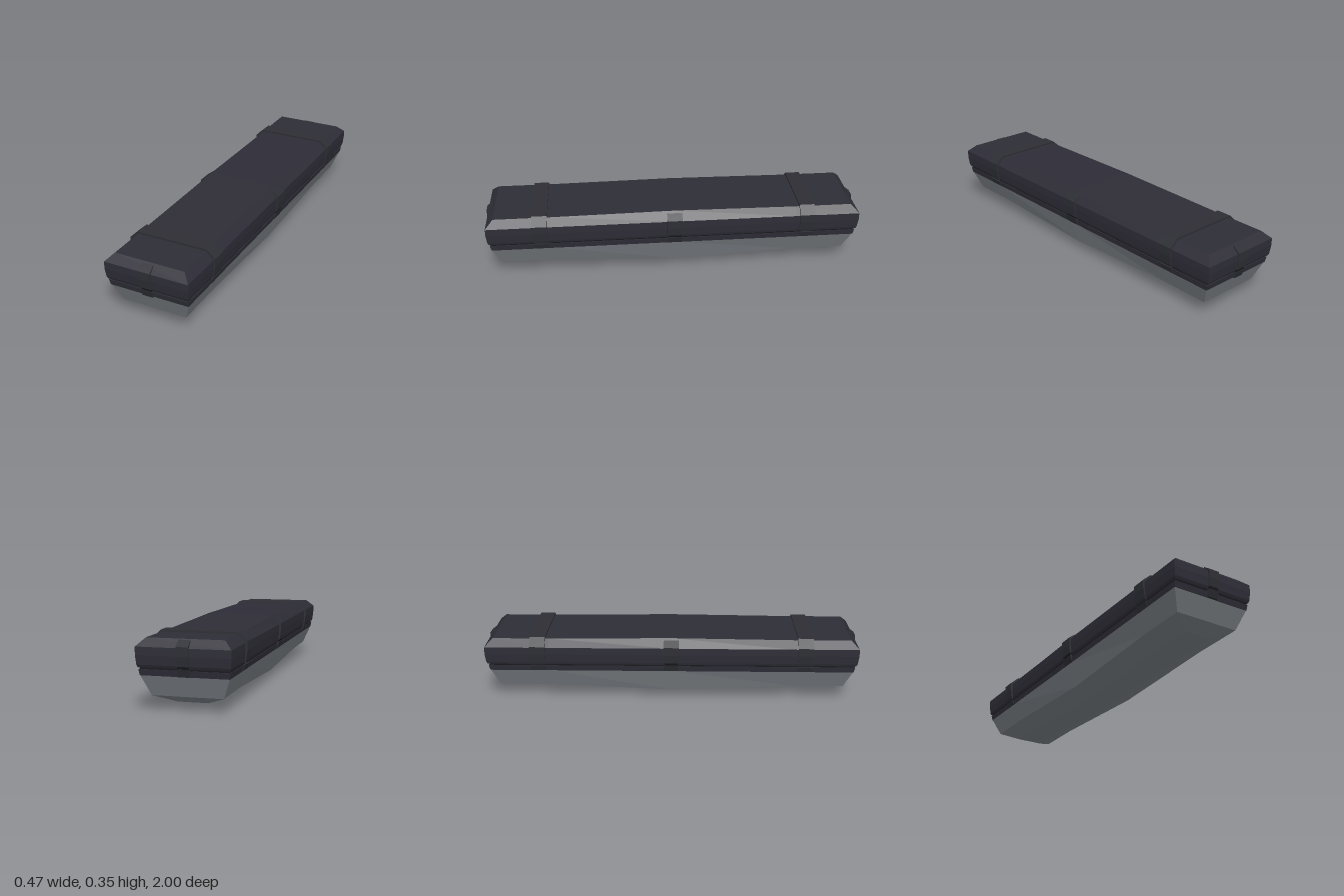
import * as THREE from 'three';

const mat = (name, color) => {
  const m = new THREE.MeshStandardMaterial({ color });
  m.name = name;
  return m;
};

// Stacks box-like rings, top to bottom. Each layer is [halfX, halfZ, yEnd, yMid];
// the height is level near the ends and slopes to yMid at z = 0.
function stack(layers) {
  const knee = 0.65, n = 10, pos = [], idx = [];
  for (const [x, z, yEnd, yMid = yEnd] of layers) {
    const side = [[z, yEnd], [knee, yEnd], [0, yMid], [-knee, yEnd], [-z, yEnd]];
    for (const [pz, y] of side) pos.push(x, y, pz);
    for (const [pz, y] of [...side].reverse()) pos.push(-x, y, pz);
  }
  const last = (layers.length - 1) * n;
  for (let l = 0; l < last; l += n) {
    for (let i = 0; i < n; i++) {
      const a = l + i, b = l + (i + 1) % n;
      idx.push(a, a + n, b + n, a, b + n, b);
    }
  }
  for (let i = 0; i < 4; i++) {
    const a = i, b = i + 1, c = 8 - i, d = 9 - i;
    idx.push(a, b, c, a, c, d);
    idx.push(last + a, last + c, last + b, last + a, last + d, last + c);
  }
  const g = new THREE.BufferGeometry();
  g.setAttribute('position', new THREE.Float32BufferAttribute(pos, 3));
  g.setIndex(idx);
  const flat = g.toNonIndexed();
  flat.computeVertexNormals();
  return flat;
}

// Extrudes an outline in x and y, centred along z
function slab(points, width) {
  const shape = new THREE.Shape(points.map(([x, y]) => new THREE.Vector2(x, y)));
  const g = new THREE.ExtrudeGeometry(shape, { depth: width, bevelEnabled: false });
  g.translate(0, 0, -width / 2);
  return g;
}

const mirrored = (half) => [...half, ...[...half].reverse().map(([x, y]) => [-x, y])];

export function createModel() {
  const model = new THREE.Group();
  model.name = 'case';
  const shell = mat('dark shell', 0x2e2d37);
  const strapMat = mat('strap charcoal', 0x2d2e34);
  const gapMat = mat('seam black', 0x17171b);
  const hullMat = mat('hull grey', 0x7b8085);

  const add = (name, geometry, material, parent = model) => {
    const mesh = new THREE.Mesh(geometry, material);
    mesh.name = name;
    parent.add(mesh);
    return mesh;
  };

  // Keeled lower body
  add('hull', stack([
    [0.212, 0.967, 0.17],
    [0.172, 0.925, 0.07, 0.043],
    [0.075, 0.85, 0.03, 0],
  ]), hullMat);

  // Rim, recessed seam and chamfered lid
  add('rim', stack([[0.217, 0.975, 0.198], [0.2125, 0.969, 0.169]]), shell);
  add('seam', stack([[0.212, 0.968, 0.21], [0.212, 0.968, 0.196]]), gapMat);
  add('lid', stack([
    [0.187, 0.95, 0.341, 0.348],
    [0.226, 0.99, 0.303],
    [0.226, 0.99, 0.265],
    [0.222, 0.985, 0.22],
    [0.218, 0.979, 0.207],
  ]), shell);

  // Straps around the lid and over the rim
  const upperBand = mirrored([[0.19, 0.351], [0.235, 0.31], [0.235, 0.268], [0.228, 0.22], [0.224, 0.207]]);
  const lowerBand = mirrored([[0.222, 0.199], [0.214, 0.17]]);
  for (const s of [1, -1]) {
    const strap = new THREE.Group();
    strap.name = s > 0 ? 'frontStrap' : 'backStrap';
    strap.position.z = s * 0.71;
    add('upperBand', slab(upperBand, 0.08), strapMat, strap);
    add('lowerBand', slab(lowerBand, 0.08), strapMat, strap);
    model.add(strap);
  }

  // Latches on all four sides, outline measured outward from the lid face
  const flap = [[-0.034, 0.325], [-0.028, 0.338], [0.009, 0.31], [0.009, 0.265], [0.003, 0.22], [-0.034, 0.22]];
  const slot = [[-0.03, 0.22], [0, 0.22], [-0.003, 0.206], [-0.03, 0.206]];
  const clasp = [[-0.03, 0.207], [0.001, 0.207], [-0.011, 0.17], [-0.03, 0.17]];
  const places = [
    ['left', 0, 0.226, 0.08], ['back', 1, 0.99, 0.058],
    ['right', 2, 0.226, 0.08], ['front', 3, 0.99, 0.058],
  ];
  for (const [side, turn, reach, width] of places) {
    const latch = new THREE.Group();
    latch.name = side + 'Latch';
    latch.rotation.y = turn * Math.PI / 2;
    for (const [name, outline, material, w] of [
      ['flap', flap, strapMat, width],
      ['slot', slot, gapMat, width * 0.9],
      ['clasp', clasp, strapMat, width * 0.95],
    ]) add(name, slab(outline, w), material, latch).position.x = reach;
    model.add(latch);
  }
  return model;
}
